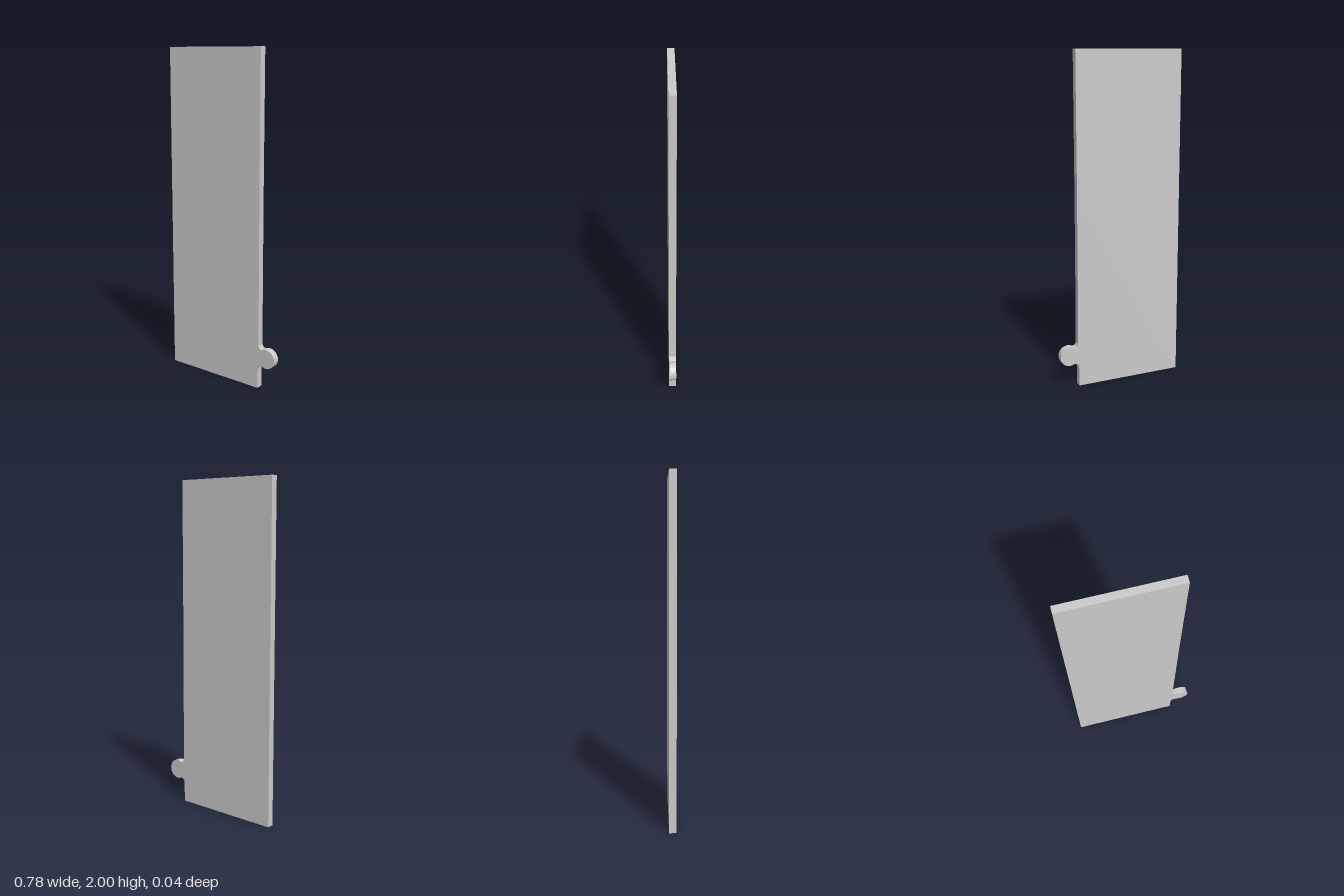
import * as THREE from 'three';

export function createModel() {
  const group = new THREE.Group();
  const depth = 0.042;
  const material = new THREE.MeshStandardMaterial({ color: 0xcccccc, flatShading: true });

  // Outline: tall panel with an interlocking tab low on its left edge
  const outline = [[-0.39, 0], [0.271, 0], [0.271, 0.11], [0.274, 0.132], [0.284, 0.145], [0.298, 0.147]];

  // Round head of the tab, swept from the lower neck to the upper neck
  const cx = 0.33, cy = 0.198, r = 0.059, steps = 14;
  for (let i = 0; i <= steps; i++) {
    const a = THREE.MathUtils.degToRad(-105 + (210 * i) / steps);
    outline.push([cx + r * Math.cos(a), cy + r * Math.sin(a)]);
  }

  // Upper neck fillet, then the slightly tapering edge up to the top
  outline.push([0.298, 0.249], [0.285, 0.254], [0.277, 0.268], [0.275, 0.38], [0.271, 1.2], [0.27, 2], [-0.39, 2]);

  const shape = new THREE.Shape(outline.map(([x, y]) => new THREE.Vector2(x, y)));
  const geometry = new THREE.ExtrudeGeometry(shape, { depth, bevelEnabled: false });
  geometry.translate(0, 0, -depth / 2);

  const panel = new THREE.Mesh(geometry, material);
  panel.name = 'panelWithTab';
  group.add(panel);
  return group;
}
